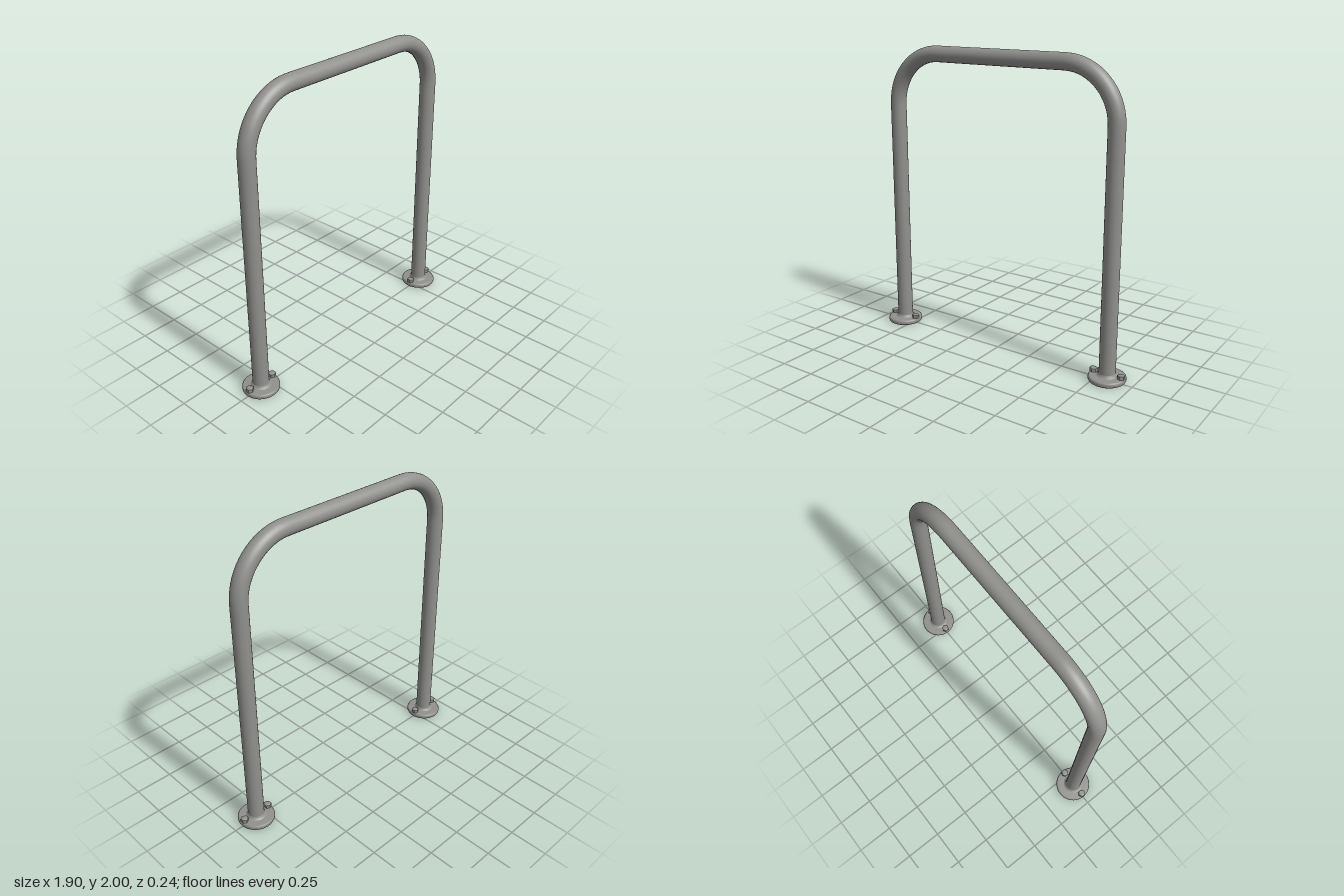
import * as THREE from 'three';

const LEG_X = 0.828, RADIUS = 0.053, BEND = 0.35, TOP_Y = 1.947;

// Centre line: leg, quarter bend, top rail, quarter bend, leg
function hoopPath() {
  const pts = [];
  const add = (x, y) => pts.push(new THREE.Vector3(x, y, 0));
  const line = (x0, y0, x1, y1, n) => {
    for (let i = 0; i < n; i++) add(x0 + (x1 - x0) * i / n, y0 + (y1 - y0) * i / n);
  };
  const bend = (cx, from) => {
    for (let i = 0; i < 16; i++) {
      const a = from - (i / 16) * Math.PI / 2;
      add(cx + BEND * Math.cos(a), TOP_Y - BEND + BEND * Math.sin(a));
    }
  };
  const cx = LEG_X - BEND, springY = TOP_Y - BEND;
  line(-LEG_X, 0.015, -LEG_X, springY, 16);
  bend(-cx, Math.PI);
  line(-cx, TOP_Y, cx, TOP_Y, 12);
  bend(cx, Math.PI / 2);
  line(LEG_X, springY, LEG_X, 0.015, 16);
  add(LEG_X, 0.015);
  return new THREE.CatmullRomCurve3(pts, false, 'centripetal');
}

export function createModel() {
  const root = new THREE.Group();
  root.name = 'hoopStand';
  const steel = new THREE.MeshStandardMaterial({ color: 0x90908d });
  steel.name = 'grey steel';

  const addMesh = (parent, name, geometry, x = 0, y = 0, z = 0) => {
    const mesh = new THREE.Mesh(geometry, steel);
    mesh.name = name;
    mesh.position.set(x, y, z);
    parent.add(mesh);
    return mesh;
  };

  // Bent pipe, flattened very slightly over the bends and rail
  const pipe = new THREE.TubeGeometry(hoopPath(), 160, RADIUS, 32, false);
  const p = pipe.attributes.position;
  for (let i = 0; i < p.count; i++) {
    p.setZ(i, p.getZ(i) * (1 + 0.06 * THREE.MathUtils.smoothstep(p.getY(i), 1.6, 1.85)));
  }
  addMesh(root, 'bentPipe', pipe);

  // Base plate with softened rims
  const plateProfile = [
    [0, 0], [0.111, 0], [0.117, 0.004], [0.12, 0.011],
    [0.12, 0.024], [0.117, 0.031], [0.111, 0.035], [0.04, 0.035],
  ].map(([r, y]) => new THREE.Vector2(r, y));
  const plate = new THREE.LatheGeometry(plateProfile, 48);

  // Weld fillet between plate and pipe
  const weldProfile = [[0.07, 0.034], [0.062, 0.038], [0.056, 0.045], [0.052, 0.056]]
    .map(([r, y]) => new THREE.Vector2(r, y));
  const weld = new THREE.LatheGeometry(weldProfile, 32);

  const boltHead = new THREE.CylinderGeometry(0.025, 0.025, 0.024, 6).toNonIndexed();
  boltHead.computeVertexNormals();
  const boltCrown = new THREE.CylinderGeometry(0.015, 0.022, 0.004, 16);

  for (const side of [-1, 1]) {
    const foot = new THREE.Group();
    foot.name = side > 0 ? 'leftFoot' : 'rightFoot';
    foot.position.x = side * LEG_X;
    root.add(foot);
    addMesh(foot, 'basePlate', plate);
    addMesh(foot, 'weld', weld);
    for (const dx of [-0.096, 0.096]) {
      addMesh(foot, 'boltHead', boltHead, dx, 0.046, 0);
      addMesh(foot, 'boltCrown', boltCrown, dx, 0.06, 0);
    }
  }
  return root;
}
